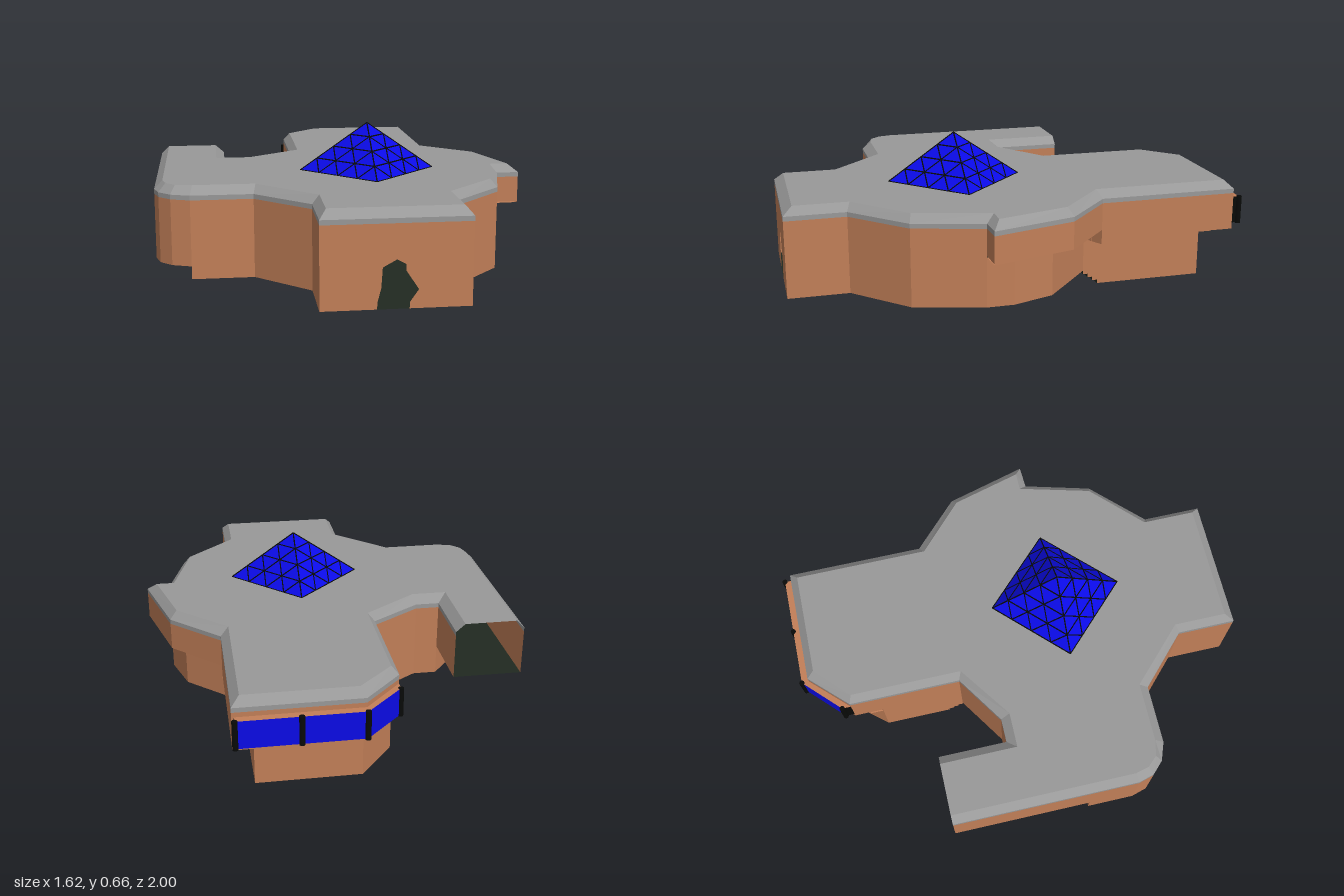
import * as THREE from 'three';

const mat = (name, color) => {
  const m = new THREE.MeshStandardMaterial({ color, side: THREE.DoubleSide });
  m.name = name;
  return m;
};

export function createModel() {
  const model = new THREE.Group();
  const clay = mat('clay wall', 0xc27f58);
  const grey = mat('grey roof', 0x999999);
  const blue = mat('blue glass', 0x0c0cf0);
  const dark = mat('dark floor', 0x202920);
  const black = mat('black frame', 0x080a08);

  const add = (name, geometry, material) => {
    const mesh = new THREE.Mesh(geometry, material);
    mesh.name = name;
    model.add(mesh);
    return mesh;
  };

  // Separate quads, each given as four corners
  const quads = (list) => {
    const pos = [];
    for (const [a, b, c, d] of list) pos.push(...a, ...b, ...c, ...a, ...c, ...d);
    const g = new THREE.BufferGeometry();
    g.setAttribute('position', new THREE.Float32BufferAttribute(pos, 3));
    g.computeVertexNormals();
    return g;
  };

  // Strip between two plan paths; a null bottom leaves that segment out
  const strip = (low, high, bottoms, top) => {
    const list = [];
    for (let i = 0; i < low.length - 1; i++) {
      const y = Array.isArray(bottoms) ? bottoms[i] : bottoms;
      if (y === null) continue;
      const [a, b, c, d] = [low[i], low[i + 1], high[i + 1], high[i]];
      list.push([[a[0], y, a[1]], [b[0], y, b[1]], [c[0], top, c[1]], [d[0], top, d[1]]]);
    }
    return quads(list);
  };
  const wall = (name, path, bottoms, top, material = clay) =>
    add(name, strip(path, path, bottoms, top), material);

  const shapeOf = (pts) => new THREE.Shape(pts.map(([x, y]) => new THREE.Vector2(x, y)));
  // Horizontal sheet from an x/z outline
  const sheet = (name, pts, y, material) => {
    const g = new THREE.ShapeGeometry(shapeOf(pts));
    g.scale(1, -1, 1).rotateX(-Math.PI / 2).translate(0, y, 0);
    // scale mirrors the winding, so restore it to face upwards
    const ix = g.index.array;
    for (let i = 0; i < ix.length; i += 3) [ix[i], ix[i + 1]] = [ix[i + 1], ix[i]];
    g.computeVertexNormals();
    return add(name, g, material);
  };

  // Plan outline of the eaves and of the flat roof inside the bevel
  const outer = [
    [-0.18, 1], [0.41, 1], [0.41, 0.74], [0.63, 0.52], [0.71, 0.225], [0.81, 0.22],
    [0.71, -0.14], [0.5, -0.34], [0.5, -0.955], [-0.02, -0.955], [-0.18, -0.79], [-0.18, -0.29],
    [-0.4, -0.145], [-0.505, -0.145], [-0.505, -0.45], [-0.81, -0.45], [-0.81, 0.38],
    [-0.79, 0.45], [-0.74, 0.5], [-0.66, 0.53], [-0.4, 0.53], [-0.18, 0.74], [-0.18, 1]];
  const inner = [
    [-0.15, 0.96], [0.38, 0.96], [0.38, 0.725], [0.6, 0.51], [0.685, 0.19], [0.765, 0.19],
    [0.68, -0.12], [0.465, -0.32], [0.465, -0.92], [0, -0.92], [-0.15, -0.775], [-0.15, -0.275],
    [-0.39, -0.105], [-0.545, -0.105], [-0.545, -0.45], [-0.775, -0.45], [-0.775, 0.37],
    [-0.76, 0.43], [-0.72, 0.475], [-0.65, 0.49], [-0.39, 0.49], [-0.15, 0.725], [-0.15, 0.96]];

  // Roof: thin fascia, sloping bevel, flat top; the side wing is open at the back
  const open = outer.map((p, i) => (i === 14 ? null : 0));
  wall('roofFascia', outer, open.map((v) => (v === null ? null : 0.4)), 0.42, grey);
  add('roofBevel', strip(outer, inner, open.map((v) => (v === null ? null : 0.42)), 0.455), grey);
  sheet('roofTop', inner.slice(0, -1), 0.455, grey);

  // Outer walls, with the bottom height of each segment
  const F = 0.065;
  wall('outerWalls', outer, [null, F, F, F, 0.285, 0.28, 0.28, 0.235, 0.235, 0.235, 0.235, F, F,
    0.2, null, 0.2, 0.12, 0.12, 0.12, F, F, F], 0.4);
  wall('wingCornerWall', [[-0.81, 0.17], [-0.81, 0.38]], 0.12, 0.2);
  wall('wingStepRiser', [[-0.81, 0.17], [-0.66, 0.17]], 0.12, 0.2);

  // Front wall with the ragged entrance opening
  const front = shapeOf([[-0.18, F], [0.04, F], [0.04, 0.09], [0.055, 0.15], [0.06, 0.23],
    [0.115, 0.26], [0.15, 0.24], [0.15, 0.215], [0.2, 0.14], [0.165, 0.09], [0.165, F],
    [0.41, F], [0.41, 0.4], [-0.18, 0.4]]);
  add('frontWall', new THREE.ShapeGeometry(front).translate(0, 0, 1), clay);

  // Lower walls set back beneath the overhangs
  const lowRight = [[0.71, 0.225], [0.71, 0.11], [0.65, -0.07], [0.41, -0.29]];
  wall('lowerRightWalls', lowRight, F, 0.28);
  wall('lowerWingWalls', [[-0.505, -0.145], [-0.61, -0.02], [-0.66, 0.17], [-0.66, 0.53]], F, 0.2);
  const lowBack = [[0.41, -0.38], [0.41, -0.84], [-0.03, -0.84], [-0.18, -0.66], [-0.18, -0.38]];
  wall('lowerBackWalls', lowBack, 0, 0.235);

  // Floors
  sheet('mainFloor', [[-0.18, 1], [0.41, 1], [0.41, 0.74], [0.63, 0.52], ...lowRight,
    [-0.18, -0.29], [-0.4, -0.145], [-0.505, -0.145], [-0.61, -0.02], [-0.66, 0.17],
    [-0.66, 0.53], [-0.4, 0.53], [-0.18, 0.74]], F, dark);
  sheet('backFloor', lowBack, 0, dark);
  sheet('wingFloor', [[-0.505, -0.45], [-0.81, -0.45], [-0.81, 0.17], [-0.45, 0.17],
    [-0.505, -0.145]], 0.2, dark);
  sheet('wingCornerFloor', [[-0.81, 0.17], [-0.81, 0.38], [-0.79, 0.45], [-0.74, 0.5],
    [-0.66, 0.53], [-0.66, 0.17]], 0.12, dark);

  // Steps between the main and back floors, with stepped side walls
  for (let i = 0; i < 4; i++) {
    const z = -0.29 - i * 0.0225, z2 = z - 0.0225;
    const y = F * (1 - i / 4), y2 = F * (1 - (i + 1) / 4);
    wall('stepRiser', [[-0.18, z], [0.41, z]], y2, y, dark);
    sheet('stepTread', [[-0.18, z], [0.41, z], [0.41, z2], [-0.18, z2]], y2, dark);
    for (const x of [-0.18, 0.41]) wall('stepSideWall', [[x, z], [x, z2]], y2, 0.235);
  }

  // Undersides of the overhangs, with a stepped moulding at the back
  sheet('rightSoffit', [[0.71, 0.225], [0.81, 0.22], [0.71, -0.14], [0.5, -0.34],
    [0.41, -0.29], [0.65, -0.07], [0.71, 0.11]], 0.28, clay);
  sheet('backSoffit', [[0.5, -0.34], [0.5, -0.955], [-0.02, -0.955], [-0.18, -0.79],
    [-0.18, -0.66], [-0.03, -0.84], [0.41, -0.84], [0.41, -0.29]], 0.235, clay);
  const mould = [[0.45, -0.31], [0.45, -0.88], [-0.03, -0.88], [-0.18, -0.72]];
  wall('backMoulding', mould, 0.215, 0.235);
  sheet('backMouldingUnderside', [...mould, [-0.18, -0.66], [-0.03, -0.84], [0.41, -0.84],
    [0.41, -0.29]], 0.215, clay);
  wall('soffitEnd', [[0.5, -0.34], [0.41, -0.29]], 0.215, 0.28);

  // Window band across the back, with sills and posts
  const band = [[0.49, -0.988], [-0.02, -0.988], [-0.18, -0.83]];
  wall('backWindow', band, 0.26, 0.38, blue);
  for (const y of [0.26, 0.38])
    sheet('windowSill', [...band, [-0.18, -0.79], [-0.02, -0.955], [0.49, -0.955]], y, clay);
  wall('windowEndRight', [[-0.18, -0.79], band[2]], 0.26, 0.38, black);
  wall('windowEndLeft', [[0.49, -0.955], band[0]], 0.26, 0.38, black);
  for (const [x, z] of [band[0], [0.235, -0.988], band[1], band[2]])
    add('windowPost', new THREE.CylinderGeometry(0.012, 0.012, 0.125, 10), black)
      .position.set(x, 0.32, z);

  // Glass pyramid with a triangular lattice of bars on each face
  const apex = new THREE.Vector3(0.115, 0.66, 0.225);
  const corners = [0, 1, 2, 3].map((i) => new THREE.Vector3(
    0.115 + 0.295 * Math.cos(i * Math.PI / 2), 0.455, 0.225 + 0.295 * Math.sin(i * Math.PI / 2)));
  const glass = new THREE.ConeGeometry(0.295, 0.205, 4, 1, true).toNonIndexed();
  glass.computeVertexNormals();
  add('pyramidGlass', glass, blue).position.set(0.115, 0.5575, 0.225);

  const bar = (a, b) => {
    const m = add('pyramidBar', new THREE.CylinderGeometry(0.003, 0.003, a.distanceTo(b), 5), black);
    m.position.copy(a).lerp(b, 0.5);
    m.quaternion.setFromUnitVectors(new THREE.Vector3(0, 1, 0), b.clone().sub(a).normalize());
  };
  corners.forEach((c, i) => {
    const d = corners[(i + 1) % 4];
    bar(c, apex);
    for (let k = 0; k < 4; k++) {
      const t = k / 4;
      bar(c.clone().lerp(apex, t), d.clone().lerp(apex, t));
      if (k === 0) continue;
      const foot = c.clone().lerp(d, t);
      bar(foot, d.clone().lerp(apex, 1 - t));
      bar(foot, c.clone().lerp(apex, t));
    }
  });

  return model;
}
